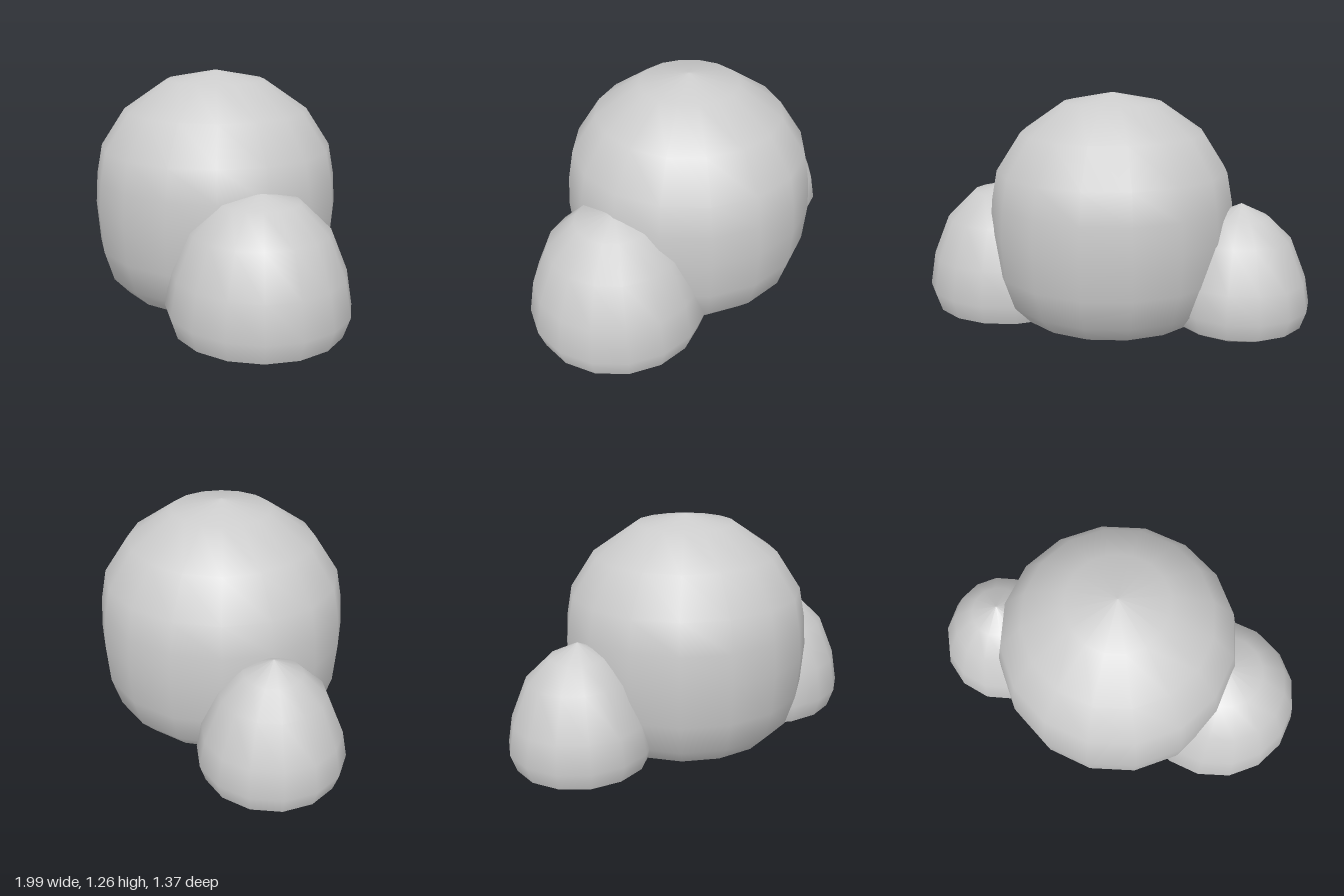
import * as THREE from 'three';

const material = new THREE.MeshStandardMaterial({ color: 0xcccccc });

// A rounded blob with a sharp-edged, slightly bulging underside.
// Profile points are [radius, height], from the bottom rim to the crown.
function makeBlob(name, x, z, sides, profile, underside) {
  const blob = new THREE.Group();
  blob.name = name;
  blob.position.set(x, 0, z);
  const lathe = (partName, points) => {
    const vectors = points.map(([r, y]) => new THREE.Vector2(r, y));
    const mesh = new THREE.Mesh(new THREE.LatheGeometry(vectors, sides), material);
    mesh.name = partName;
    blob.add(mesh);
  };
  lathe(name + 'Dome', profile);
  lathe(name + 'Underside', [...underside, profile[0]]);
  return blob;
}

export function createModel() {
  const model = new THREE.Group();
  model.name = 'roundedClump';

  // Large central blob
  model.add(makeBlob('centralBlob', 0, -0.027, 16, [
    [0.5, 0.08], [0.585, 0.17], [0.635, 0.33], [0.652, 0.54], [0.642, 0.7],
    [0.612, 0.86], [0.485, 1.055], [0.26, 1.21], [0, 1.26],
  ], [[0, 0.04], [0.3, 0.05]]));

  // Medium blob at the front left
  model.add(makeBlob('leftBlob', 0.54, 0.225, 16, [
    [0.425, 0.065], [0.46, 0.17], [0.43, 0.35], [0.345, 0.56],
    [0.2, 0.7], [0, 0.75],
  ], [[0, 0.0], [0.2, 0.012], [0.35, 0.035]]));

  // Small, slightly peaked blob at the back right
  model.add(makeBlob('rightBlob', -0.63, -0.317, 14, [
    [0.34, 0.09], [0.37, 0.18], [0.345, 0.32], [0.26, 0.53],
    [0.145, 0.64], [0, 0.71],
  ], [[0, 0.045], [0.28, 0.06]]));

  return model;
}
